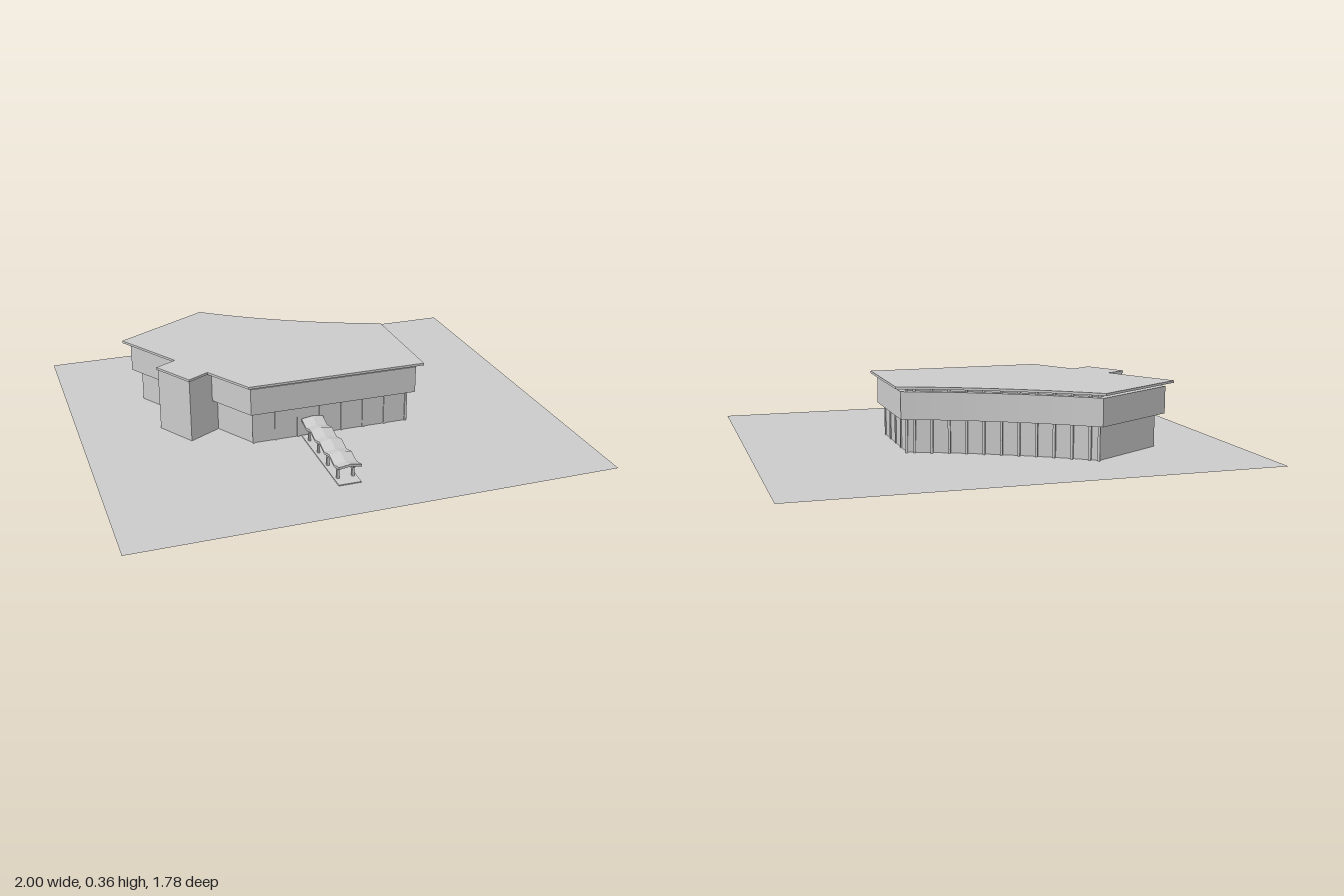
import * as THREE from 'three';

const GROUND = 0.08;
const ROOF = 0.352;
const V = (x, z) => new THREE.Vector2(x, z);

export function createModel() {
  const group = new THREE.Group();
  const material = new THREE.MeshStandardMaterial({ color: 0xcccccc, flatShading: true, side: THREE.DoubleSide });

  const add = (name, geometry, parent = group) => {
    const mesh = new THREE.Mesh(geometry, material);
    mesh.name = name;
    parent.add(mesh);
    return mesh;
  };

  // Upright prism over a plan outline given in (x, z)
  const prism = (points, y0, y1) => {
    const shape = new THREE.Shape(points.map((p) => V(p.x, -p.y)));
    const geometry = new THREE.ExtrudeGeometry(shape, { depth: y1 - y0, bevelEnabled: false });
    return geometry.rotateX(-Math.PI / 2).translate(0, y0, 0);
  };

  // Outline moved inwards by d with mitred corners
  const inset = (points, d) => {
    const s = Math.sign(THREE.ShapeUtils.area(points));
    const normal = (a, b) => V(a.y - b.y, b.x - a.x).normalize().multiplyScalar(s);
    return points.map((p, i) => {
      const n1 = normal(points.at(i - 1), p);
      const n2 = normal(p, points[(i + 1) % points.length]);
      const k = d / (1 + n1.dot(n2));
      return p.clone().add(n1.add(n2).multiplyScalar(k));
    });
  };

  // Plan: curved back, straight sides, and a small tower on the slanted side
  const backCurve = new THREE.QuadraticBezierCurve(V(-0.33, -0.64), V(0.02, -0.37), V(0.42, -0.23)).getPoints(12);
  const mainPlan = [...backCurve, V(0.42, 0.26), V(-0.35, 0.26), V(-0.74, -0.4)];
  const towerPlan = [V(-0.47, 0.06), V(-0.56, 0.11), V(-0.66, -0.06), V(-0.57, -0.11)];
  const roofPlan = [...mainPlan.slice(0, -1), ...towerPlan, mainPlan.at(-1)];
  const wallPlan = inset(mainPlan, 0.055);

  const ground = add('ground', new THREE.PlaneGeometry(2, 1.78).rotateX(-Math.PI / 2));
  ground.position.y = GROUND;

  add('walls', prism(wallPlan, GROUND, ROOF));
  add('fascia', prism(inset(mainPlan, 0.025), 0.222, 0.338));
  add('roof', prism(roofPlan, ROOF, 0.362));
  const towerWalls = [V(-0.41, 0.025), towerPlan[1], towerPlan[2], V(-0.51, -0.145)];
  add('tower', prism(inset(towerWalls, 0.004), GROUND, ROOF));

  // Posts along the glazed walls
  const posts = new THREE.Group();
  posts.name = 'wallPosts';
  group.add(posts);
  const postRow = (a, b, count, size, depth) => {
    for (let i = 0; i <= count; i++) {
      const p = a.clone().lerp(b, i / count);
      const post = add('wallPost', new THREE.BoxGeometry(size, ROOF - GROUND, depth), posts);
      post.position.set(p.x, (ROOF + GROUND) / 2, p.y);
      post.rotation.y = -Math.atan2(b.y - a.y, b.x - a.x);
    }
  };
  const corner = backCurve.length;
  postRow(wallPlan[corner - 1], wallPlan[corner], 4, 0.01, 0.01);
  postRow(wallPlan[corner], wallPlan[corner + 1], 7, 0.01, 0.01);
  for (let i = 0; i < corner - 1; i++) postRow(wallPlan[i], wallPlan[i + 1], 1, 0.01, 0.03);

  // Entrance canopy: folded roof with valleys over forked columns
  const canopy = new THREE.Group();
  canopy.name = 'canopy';
  canopy.position.set(-0.062, 0, 0);
  group.add(canopy);
  const pitch = 0.114;
  const width = 0.095;
  const top = [];
  for (let i = 0; i <= 8; i++) top.push(V(0.667 - (i * pitch) / 2, i % 2 ? 0.152 : 0.168));
  const under = top.map((p) => V(p.x, p.y - 0.01)).reverse();
  const folded = new THREE.ExtrudeGeometry(new THREE.Shape([...top, ...under]), { depth: width, steps: 2, bevelEnabled: false });
  folded.rotateY(-Math.PI / 2).translate(width / 2, 0, 0);
  const pos = folded.attributes.position;
  for (let i = 0; i < pos.count; i++) pos.setY(i, pos.getY(i) - Math.abs(pos.getX(i)) * 0.15);
  folded.computeVertexNormals();
  add('canopyRoof', folded, canopy);
  add('canopyPath', new THREE.BoxGeometry(width, 0.006, 0.456), canopy).position.set(0, GROUND + 0.001, 0.439);

  // Forked column profile in (z, y)
  const fork = new THREE.Shape([
    V(-0.006, GROUND), V(0.006, GROUND), V(0.006, 0.122), V(0.036, 0.146),
    V(0.03, 0.15), V(0, 0.135), V(-0.03, 0.15), V(-0.036, 0.146), V(-0.006, 0.122),
  ]);
  for (let i = 0; i < 4; i++) {
    for (const side of [-1, 1]) {
      const geometry = new THREE.ExtrudeGeometry(fork, { depth: 0.01, bevelEnabled: false });
      geometry.rotateY(-Math.PI / 2).translate(0.005, 0, 0);
      add('canopyColumn', geometry, canopy).position.set(side * 0.032, 0, 0.667 - (i + 0.5) * pitch);
    }
  }

  // Sunken landing and shaft below the ground
  add('lowerShaft', new THREE.BoxGeometry(0.08, 0.08, 0.07)).position.set(0.078, 0.04, 0.035);
  add('lowerLanding', new THREE.BoxGeometry(0.085, 0.04, 0.085)).position.set(0.033, 0.06, 0.112);

  // Sunken stairwell with a sloped floor, turned to follow the slanted wing
  const stair = new THREE.Shape([
    V(0, 0.08), V(0, 0), V(0.03, 0), V(0.085, 0.04), V(0.17, 0.04), V(0.17, 0.08),
  ]);
  const stairwell = new THREE.ExtrudeGeometry(stair, { depth: 0.055, bevelEnabled: false }).translate(0, 0, -0.0275);
  const well = add('stairwell', stairwell);
  well.position.set(-0.215, 0, -0.003);
  well.rotation.y = Math.PI - Math.PI / 6;

  return group;
}
